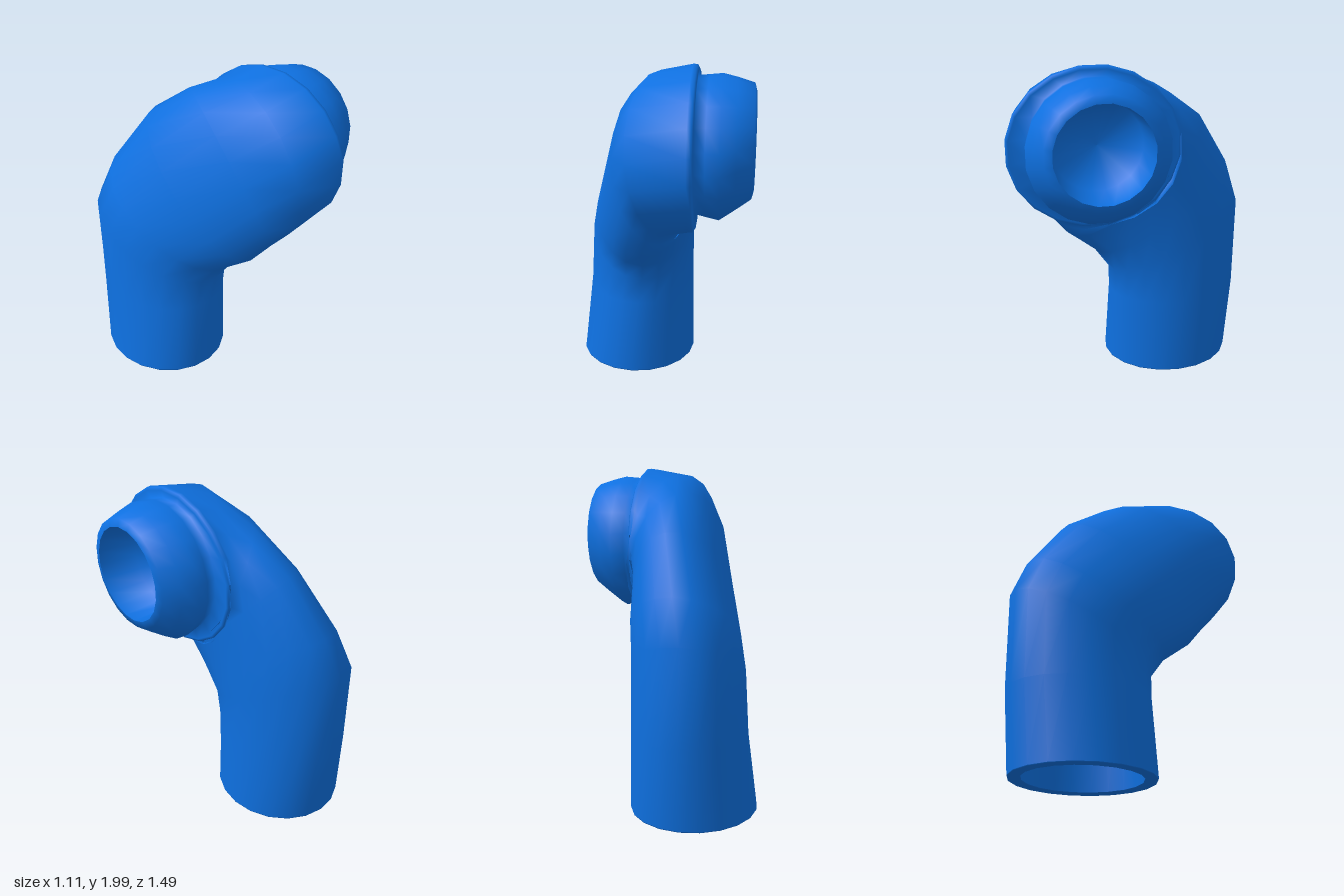
import * as THREE from 'three';

const SIDES = 20;

// Closed-ring loft: each section is [centre, axis U, axis V], an ellipse in space.
function loft(sections) {
  const positions = [], index = [];
  sections.forEach(([c, u, v], i) => {
    for (let j = 0; j < SIDES; j++) {
      const a = (j / SIDES) * Math.PI * 2;
      for (let k = 0; k < 3; k++) positions.push(c[k] + u[k] * Math.cos(a) + v[k] * Math.sin(a));
      if (i === sections.length - 1) continue;
      const p = i * SIDES + j, q = i * SIDES + (j + 1) % SIDES;
      index.push(p, p + SIDES, q, q, p + SIDES, q + SIDES);
    }
  });
  const geometry = new THREE.BufferGeometry();
  geometry.setAttribute('position', new THREE.Float32BufferAttribute(positions, 3));
  geometry.setIndex(index);
  geometry.computeVertexNormals();
  return geometry;
}

// Scales a section about its own centre.
const scaled = ([c, u, v], s) => [c, u.map(n => n * s), v.map(n => n * s)];

// Round section facing +x, with height and depth radii.
function facing(x, y, z, ry, rz = ry) {
  const h = Math.SQRT1_2;
  return [[x, y, z], [0, -ry * h, -rz * h], [0, -ry * h, rz * h]];
}

export function createModel() {
  const group = new THREE.Group();
  group.name = 'bentSleeve';
  const blue = new THREE.MeshStandardMaterial({ color: 0x0e70e0 });
  blue.name = 'blue';
  const add = (name, sections) => {
    const mesh = new THREE.Mesh(loft(sections), blue);
    mesh.name = name;
    group.add(mesh);
  };

  // Upright tube that bends forward, then turns to face +x
  const tube = [
    [[-0.18, 0.005, -0.29], [0.377, 0, 0], [0, 0, 0.41]],
    [[-0.16, 0.48, -0.32], [0.345, 0, 0], [0.02, 0, 0.42]],
    [[-0.15, 0.85, -0.32], [0.335, 0, 0], [0.04, -0.2, 0.43]],
    [[-0.115, 1.04, -0.23], [0.325, 0, 0], [0.02, -0.26, 0.43]],
    [[-0.065, 1.27, -0.04], [0.28, -0.05, -0.05], [-0.02, -0.36, 0.41]],
    [[0, 1.42, 0.12], [0.235, -0.21, -0.2], [-0.04, -0.37, 0.36]],
    [[0.06, 1.495, 0.22], [0.17, -0.32, -0.34], [-0.07, -0.335, 0.355]],
  ];

  // Bulging cuff that rolls over to its mouth
  const mouth = facing(0.552, 1.58, 0.24, 0.28);
  const cuff = [
    facing(0.23, 1.55, 0.237, 0.39),
    facing(0.29, 1.545, 0.236, 0.4),
    facing(0.365, 1.54, 0.235, 0.412),
    facing(0.45, 1.56, 0.237, 0.372),
    facing(0.54, 1.58, 0.24, 0.325),
    mouth,
  ];

  // Tube, rounded shoulder rim and cuff share one smooth skin
  add('sleeve', [
    ...tube,
    facing(0.2, 1.53, 0.24, 0.47, 0.505),
    facing(0.222, 1.53, 0.24, 0.467, 0.505),
    facing(0.232, 1.53, 0.24, 0.45, 0.49),
    ...cuff,
  ]);

  // Hollow inside the cuff, with a flat floor
  add('cuffPocket', [
    mouth,
    facing(0.31, 1.57, 0.24, 0.26),
    facing(0.29, 1.57, 0.24, 0),
  ]);

  // Hollow inside the tube, closed by a dome at the bend
  const inner = [0, 0.5, 0.72, 0.78, 0.82].map((s, i) => scaled(tube[4 - i], s));
  add('tubeLining', inner);

  // Flat hem joining the lining to the outside
  const bottom = [[-0.18, 0, -0.29], [0.375, 0, 0], [0, 0, 0.408]];
  add('hem', [inner[4], scaled(bottom, 0.84), bottom, tube[0]]);

  return group;
}
